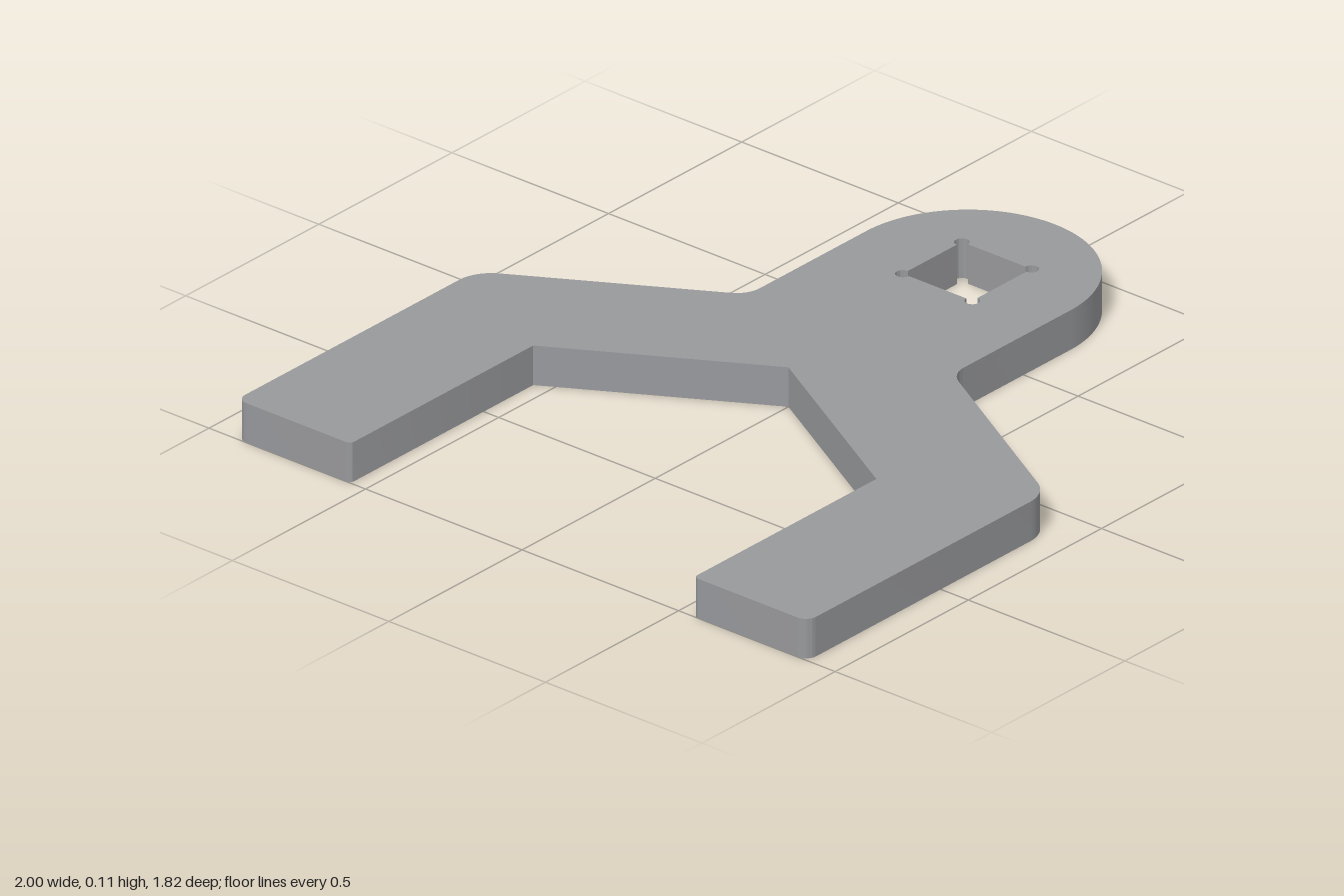
import * as THREE from 'three';
import { toCreasedNormals } from 'three/addons/utils/BufferGeometryUtils.js';

const THICKNESS = 0.108;

// Closed shape from corners [x, y, radius]; a radius of 0 keeps the corner sharp
function roundedOutline(corners) {
  const shape = new THREE.Shape();
  const n = corners.length;
  corners.forEach(([x, y, r], i) => {
    const p = new THREE.Vector2(x, y);
    const toPrev = new THREE.Vector2(...corners[(i + n - 1) % n].slice(0, 2)).sub(p).normalize();
    const toNext = new THREE.Vector2(...corners[(i + 1) % n].slice(0, 2)).sub(p).normalize();
    if (r === 0) {
      if (i === 0) shape.moveTo(x, y);
      else shape.lineTo(x, y);
      return;
    }
    const half = Math.acos(toPrev.dot(toNext)) / 2;
    const t = r / Math.tan(half);
    const a = p.clone().addScaledVector(toPrev, t);
    const b = p.clone().addScaledVector(toNext, t);
    const c = toPrev.clone().add(toNext).normalize().multiplyScalar(r / Math.sin(half)).add(p);
    const clockwise = toPrev.cross(toNext) > 0;
    shape.absarc(c.x, c.y, r, Math.atan2(a.y - c.y, a.x - c.x), Math.atan2(b.y - c.y, b.x - c.x), clockwise);
  });
  return shape;
}

// Square drive hole with a round relief at each corner
function driveHole(cx, halfSize, relief) {
  const hole = new THREE.Path();
  for (let k = 0; k < 4; k++) {
    const turn = k * Math.PI / 2;
    const diagonal = turn + Math.PI / 4;
    hole.absarc(
      cx + Math.SQRT2 * halfSize * Math.cos(diagonal),
      Math.SQRT2 * halfSize * Math.sin(diagonal),
      relief, turn - Math.PI / 2, turn + Math.PI, false);
  }
  return hole;
}

export function createModel() {
  const group = new THREE.Group();
  group.name = 'forkWrench';

  // One half of the outline: crotch, inner bend, arm tip, outer bend, neck, round head
  const half = [
    [-0.314, 0.548, 0],
    [-1, 0.548, 0.015],
    [-1, 0.912, 0.032],
    [-0.105, 0.912, 0.104],
    [0.233, 0.326, 0.075],
    [1, 0.326, 0.325],
  ];
  const mirrored = half.map(([x, y, r]) => [x, -y, r]).reverse();
  const outline = roundedOutline([[0, 0, 0], ...half, ...mirrored]);
  outline.holes.push(driveHole(0.671, 0.111, 0.019));

  // Flat plate lying on the ground
  const geometry = new THREE.ExtrudeGeometry(outline, {
    depth: THICKNESS, bevelEnabled: false, curveSegments: 24,
  });
  geometry.rotateX(-Math.PI / 2);
  const plate = new THREE.Mesh(
    toCreasedNormals(geometry, 0.5),
    new THREE.MeshStandardMaterial({ color: 0x98999c }));
  plate.name = 'wrenchPlate';
  group.add(plate);
  return group;
}
